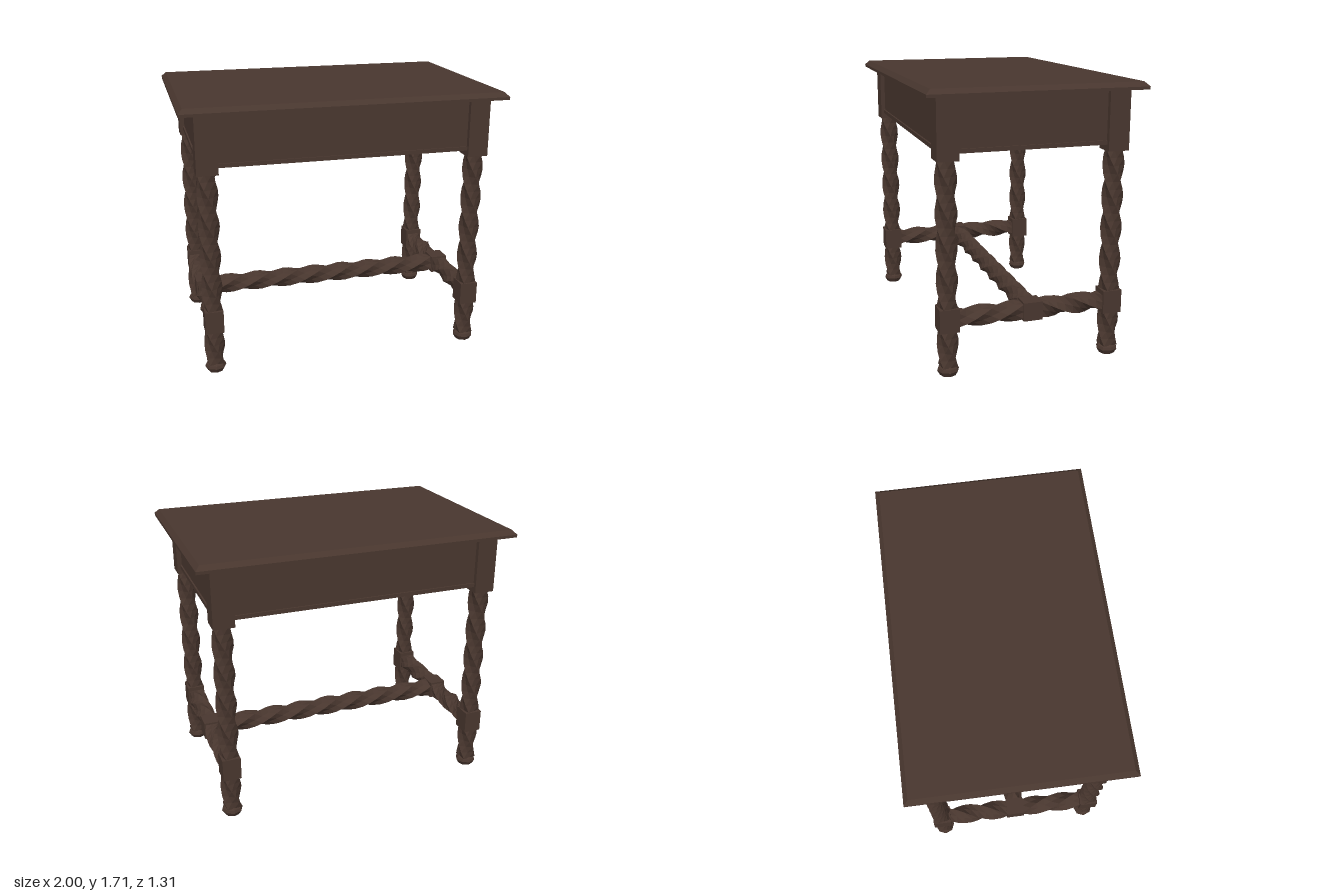
import * as THREE from 'three';

export function createModel() {
  const root = new THREE.Group();
  const wood = new THREE.MeshStandardMaterial({ color: 0x48362e, flatShading: true });
  wood.name = 'dark wood';

  function add(name, geometry, x = 0, y = 0, z = 0) {
    const mesh = new THREE.Mesh(geometry, wood);
    mesh.name = name;
    mesh.position.set(x, y, z);
    root.add(mesh);
    return mesh;
  }
  const box = (name, w, h, d, x, y, z) => add(name, new THREE.BoxGeometry(w, h, d), x, y, z);

  // Rope-turned bar along y: a lobed section that turns 45 degrees every 0.1
  function twistGeometry(length, phase, hand) {
    const g = new THREE.CylinderGeometry(1, 1, length, 8, Math.max(2, Math.round(length / 0.05)));
    const p = g.attributes.position;
    for (let i = 0; i < p.count; i++) {
      const x = p.getX(i), y = p.getY(i), z = p.getZ(i);
      if (Math.hypot(x, z) < 0.01) continue;
      const a = Math.atan2(z, x);
      const r = 0.0555 + 0.0095 * Math.cos(4 * a);
      const t = a + hand * (y - phase) * Math.PI / 0.4;
      p.setXYZ(i, r * Math.cos(t), y, r * Math.sin(t));
    }
    g.computeVertexNormals();
    return g;
  }

  // Table top with a bevelled upper edge
  const top = new THREE.BoxGeometry(2, 0.045, 1.31, 1, 2, 1);
  const tp = top.attributes.position;
  for (let i = 0; i < tp.count; i++) {
    const y = tp.getY(i);
    if (y > 0.01) {
      tp.setX(i, Math.sign(tp.getX(i)) * 0.973);
      tp.setZ(i, Math.sign(tp.getZ(i)) * 0.628);
    } else if (y > -0.01) tp.setY(i, -0.005);
  }
  add('tableTop', top, 0, 1.6875, 0);

  // Apron panels, lower mouldings and closed underside
  const lx = 0.845, lz = 0.517;
  for (const s of [-1, 1]) {
    box('longApron', 1.58, 0.315, 0.03, 0, 1.5075, s * 0.538);
    box('longApronMoulding', 1.58, 0.025, 0.04, 0, 1.35, s * 0.543);
    box('shortApron', 0.03, 0.315, 0.92, s * 0.865, 1.5075, 0);
    box('shortApronMoulding', 0.04, 0.025, 0.92, s * 0.87, 1.35, 0);
  }
  box('underside', 1.72, 0.02, 1.05, 0, 1.353, 0);

  // Four legs: square post, twisted shaft, joint block, lower turning and foot
  const footProfile = [[0, 0], [0.05, 0], [0.067, 0.03], [0.06, 0.048], [0.042, 0.064], [0, 0.064]]
    .map(([r, y]) => new THREE.Vector2(r, y));
  for (const sx of [-1, 1]) for (const sz of [-1, 1]) {
    const x = sx * lx, z = sz * lz;
    box('legPost', 0.13, 0.366, 0.13, x, 1.482, z);
    add('legShaft', twistGeometry(0.88, 0.09, 1), x, 0.865, z);
    box('legBlock', 0.115, 0.145, 0.12, x, 0.3525, z);
    add('lowerLeg', twistGeometry(0.23, 0, 1), x, 0.17, z);
    add('foot', new THREE.LatheGeometry(footProfile, 8), x, 0, z);
  }

  // H-shaped stretcher: twisted side bars, centre blocks and long cross bar
  for (const sx of [-1, 1]) {
    box('stretcherBlock', 0.11, 0.115, 0.12, sx * lx, 0.352, 0);
    for (const sz of [-1, 1]) {
      const bar = add('sideStretcher', twistGeometry(0.41, 0.1, sz), sx * lx, 0.352, sz * 0.26);
      bar.rotation.x = Math.PI / 2;
    }
  }
  const cross = add('crossStretcher', twistGeometry(1.59, 0.13, 1), 0, 0.352, 0);
  cross.rotation.z = Math.PI / 2;

  return root;
}
